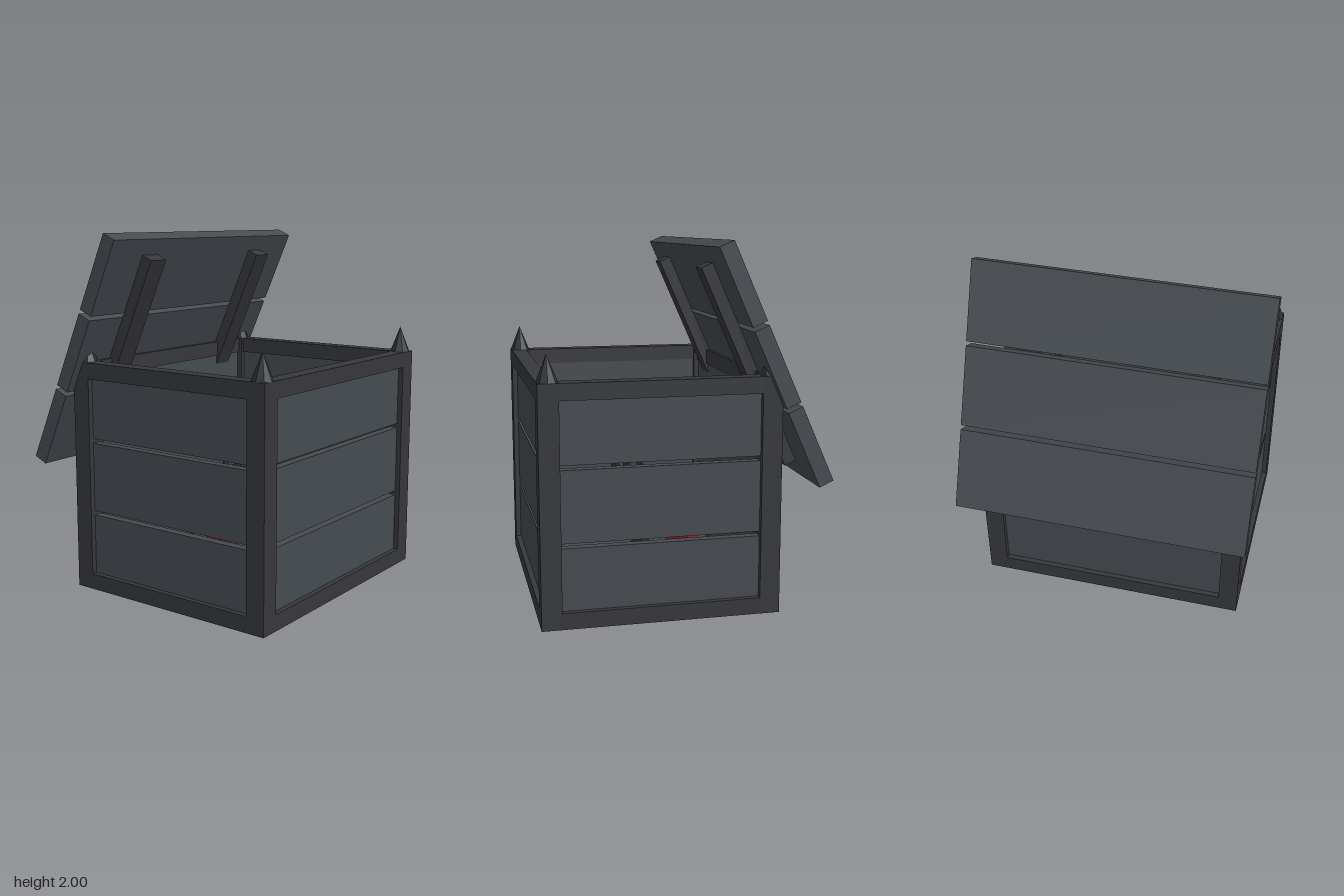
import * as THREE from 'three';

const mat = (color) => new THREE.MeshStandardMaterial({ color, flatShading: true });

export function createModel() {
  const model = new THREE.Group();
  const plankMat = mat(0x464b50), frameMat = mat(0x37383c), ironMat = mat(0x2c2e31), redMat = mat(0x9a2626);

  const box = (parent, name, material, w, h, d, x, y, z) => {
    const m = new THREE.Mesh(new THREE.BoxGeometry(w, h, d), material);
    m.name = name;
    m.position.set(x, y, z);
    parent.add(m);
    return m;
  };
  const cone = (parent, name, r, h, sides, x, y, z) => {
    const m = new THREE.Mesh(new THREE.ConeGeometry(r, h, sides), ironMat);
    m.name = name;
    m.position.set(x, y + h / 2, z);
    parent.add(m);
    return m;
  };

  // Crate body, centred on its own z axis
  const crate = new THREE.Group();
  crate.name = 'crate';
  crate.position.z = 0.137;
  model.add(crate);
  const W = 0.77, D = 0.647, H = 1.3, post = 0.11, rail = 0.09;

  for (const sx of [-1, 1]) for (const sz of [-1, 1]) {
    const x = sx * (W - post / 2), z = sz * (D - post / 2);
    box(crate, 'cornerPost', frameMat, post, H, post, x, H / 2, z);
    cone(crate, 'cornerSpike', 0.058, 0.145, 8, x, H, z);
  }

  // Rails and the three inset slats of each wall
  const slats = [[0.085, 0.43], [0.455, 0.845], [0.87, 1.22]];
  for (const s of [-1, 1]) {
    for (const y of [rail / 2, H - rail / 2]) {
      box(crate, 'longRail', frameMat, 2 * (W - post), rail, rail, 0, y, s * (D - rail / 2));
      box(crate, 'sideRail', frameMat, rail, rail, 2 * (D - post), s * (W - rail / 2), y, 0);
    }
    for (const [a, b] of slats) {
      box(crate, 'longSlat', plankMat, 2 * (W - post), b - a, 0.05, 0, (a + b) / 2, s * (D - 0.055));
      box(crate, 'sideSlat', plankMat, 0.05, b - a, 2 * (D - post), s * (W - 0.055), (a + b) / 2, 0);
    }
  }
  box(crate, 'floor', plankMat, 2 * (W - rail), 0.07, 2 * (D - rail), 0, 0.05, 0);

  // Contents: three tall four-sided spikes and a leaning red block
  [[-0.3, 0.195], [0, 0.18], [0.3, 0.165]].forEach(([x, z]) =>
    cone(model, 'innerSpike', 0.053, 0.72, 4, x, 0.28, z));
  const block = box(model, 'redBlock', redMat, 0.37, 0.3, 0.07, 0.125, 0.235, -0.123);
  block.rotation.set(-0.14, 0.07, 0, 'YXZ');

  // Open lid leaning on the back edge
  const lid = new THREE.Group();
  lid.name = 'lid';
  lid.position.set(0, 1.352, -0.4615);
  lid.rotation.x = 0.42;
  model.add(lid);
  for (const i of [-1, 0, 1]) box(lid, 'lidPlank', plankMat, 1.64, 0.447, 0.085, 0, i * 0.472, 0);
  for (const s of [-1, 1]) box(lid, 'lidBatten', frameMat, 0.125, 1.194, 0.067, s * 0.492, 0.003, 0.0755);

  return model;
}
